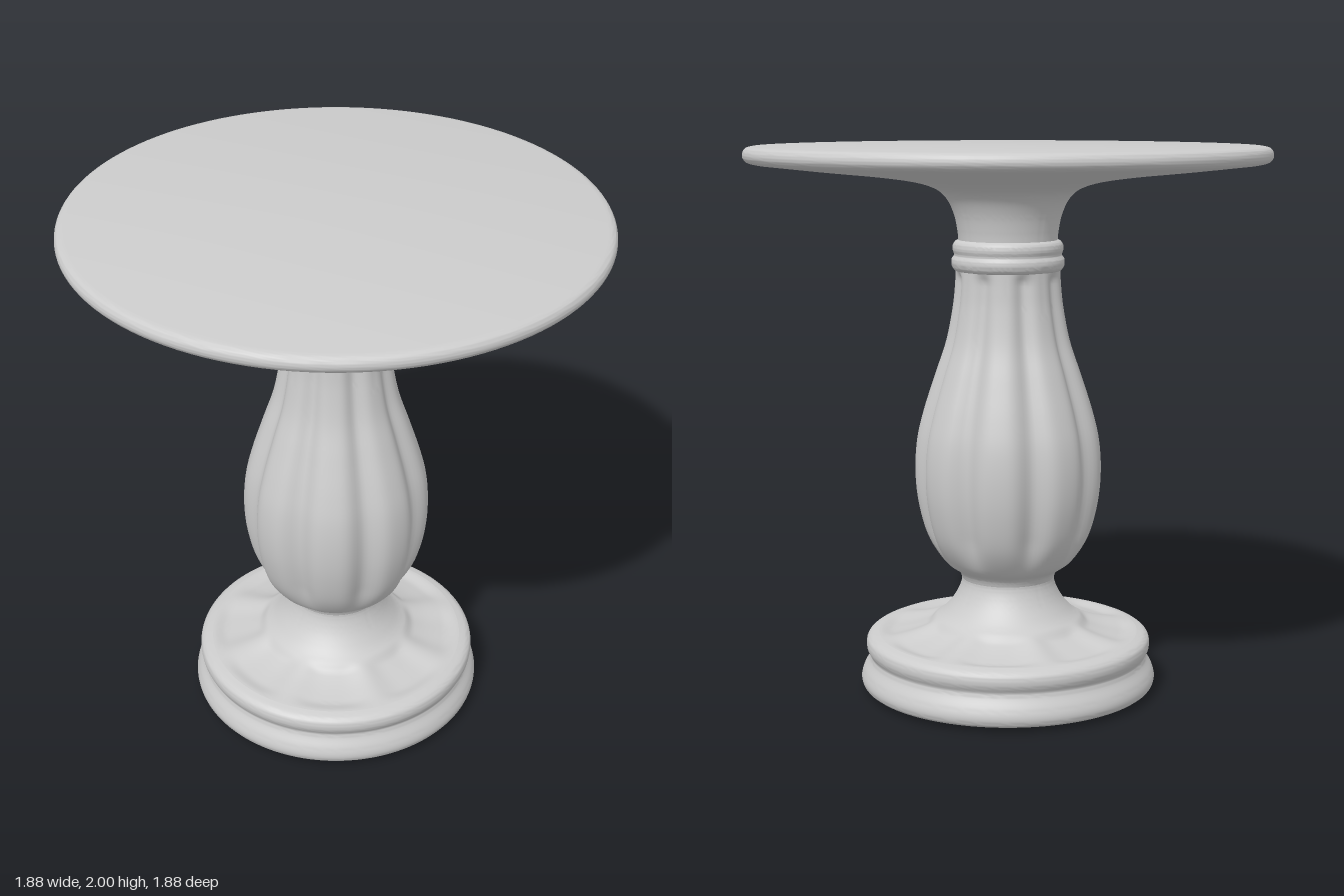
import * as THREE from 'three';
import { toCreasedNormals } from 'three/addons/utils/BufferGeometryUtils.js';

const LOBES = 8;
const SEGMENTS = 128;
const smoothstep = THREE.MathUtils.smoothstep;

// Smooth profile through a few [radius, height] points, listed bottom to top
function spline(points, divisions) {
  const curve = new THREE.SplineCurve(points.map(([r, y]) => new THREE.Vector2(r, y)));
  return curve.getPoints(divisions);
}

// 0 on the crest of a lobe, 1 at the bottom of the groove between two lobes
function groove(angle) {
  return Math.pow(Math.sin(angle * LOBES / 2) ** 2, 2.5);
}

// Lathe a profile, optionally reshaping each vertex by a rule (radius, y, angle) => [radius, y]
function turned(name, profile, material, rule) {
  const geometry = new THREE.LatheGeometry(profile, SEGMENTS);
  if (rule) {
    const pos = geometry.attributes.position;
    for (let i = 0; i < pos.count; i++) {
      const x = pos.getX(i), z = pos.getZ(i);
      const angle = Math.atan2(x, z);
      const [r, y] = rule(Math.hypot(x, z), pos.getY(i), angle);
      pos.setXYZ(i, r * Math.sin(angle), y, r * Math.cos(angle));
    }
  }
  const mesh = new THREE.Mesh(toCreasedNormals(geometry, 0.75), material);
  mesh.name = name;
  return mesh;
}

export function createModel() {
  const group = new THREE.Group();
  group.name = 'pedestalTable';
  const material = new THREE.MeshStandardMaterial({ color: 0xcccccc });

  // Round foot with a waist between two rolled edges
  const foot = [new THREE.Vector2(0, 0), ...spline([
    [0.47, 0.005], [0.53, 0.018], [0.546, 0.045], [0.538, 0.08], [0.518, 0.115],
    [0.513, 0.135], [0.525, 0.16], [0.525, 0.19], [0.51, 0.208], [0.48, 0.217],
  ], 36)];
  group.add(turned('foot', foot, material));

  // Flared neck above the foot, with shallow scooped panels between ridges
  const flare = spline([
    [0.48, 0.217], [0.42, 0.225], [0.35, 0.24], [0.29, 0.262], [0.245, 0.29],
    [0.205, 0.335], [0.18, 0.38], [0.17, 0.42], [0.18, 0.448],
  ], 48);
  group.add(turned('flare', flare, material, (r, y, a) => {
    const zone = smoothstep(r, 0.265, 0.3) * (1 - smoothstep(r, 0.42, 0.48));
    return [r, y - 0.016 * zone * (1 - groove(a))];
  }));

  // Vase-shaped column with eight rounded lobes
  const column = spline([
    [0.17, 0.42], [0.185, 0.448], [0.24, 0.49], [0.297, 0.58], [0.33, 0.7], [0.341, 0.82],
    [0.333, 0.94], [0.307, 1.05], [0.265, 1.18], [0.225, 1.3], [0.201, 1.42],
    [0.192, 1.5], [0.188, 1.57],
  ], 72);
  group.add(turned('flutedColumn', column, material, (r, y, a) => {
    const fade = smoothstep(y, 0.44, 0.62) * (1 - smoothstep(y, 1.52, 1.57));
    return [r * (1 - 0.11 * fade * groove(a)), y];
  }));

  // Collar made of a wide lower bead and a slim upper one
  const collar = spline([
    [0.165, 1.553], [0.19, 1.557], [0.203, 1.575], [0.203, 1.598], [0.194, 1.613],
    [0.199, 1.63], [0.198, 1.65], [0.185, 1.665], [0.165, 1.668],
  ], 36);
  group.add(turned('collar', collar, material));

  // Trumpet support spreading into the thin round top
  const support = spline([
    [0.178, 1.655], [0.182, 1.7], [0.195, 1.76], [0.222, 1.815], [0.265, 1.85],
    [0.35, 1.875], [0.5, 1.896], [0.7, 1.916], [0.9, 1.938],
  ], 48);
  group.add(turned('topSupport', support, material));

  const top = [...spline([
    [0.9, 1.938], [0.925, 1.945], [0.938, 1.962], [0.936, 1.982], [0.925, 1.995], [0.905, 2],
  ], 20), new THREE.Vector2(0, 2)];
  group.add(turned('tableTop', top, material));

  return group;
}
